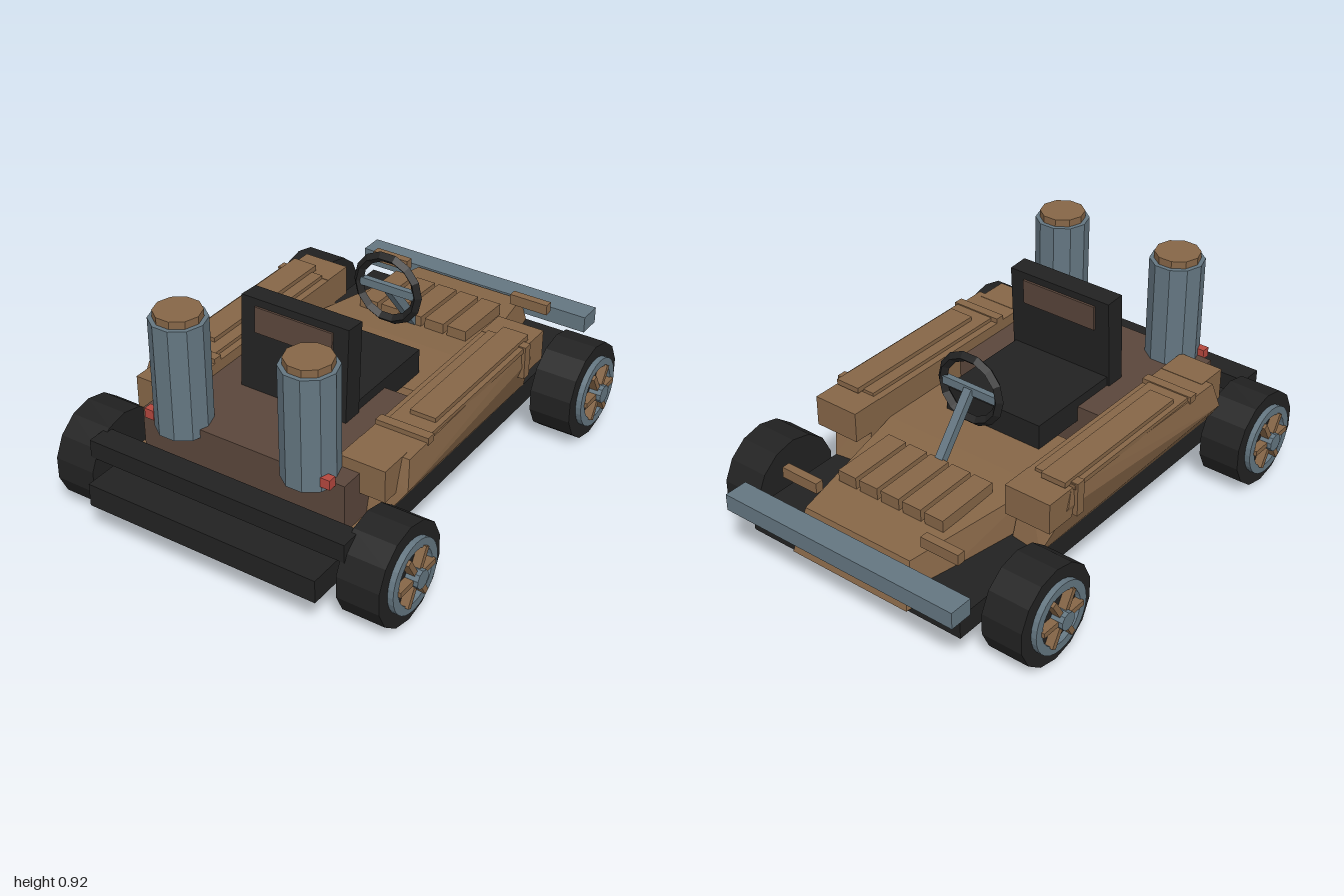
import * as THREE from 'three';
import { ConvexGeometry } from 'three/addons/geometries/ConvexGeometry.js';

const mat = (name, color) => {
  const m = new THREE.MeshStandardMaterial({ color });
  m.name = name;
  return m;
};

export function createModel() {
  const brown = mat('brown paint', 0x866647);
  const darkBrown = mat('dark brown', 0x5a463b);
  const steel = mat('blue grey metal', 0x647681);
  const black = mat('black', 0x222222);
  const red = mat('red', 0xb5483f);
  const model = new THREE.Group();
  model.name = 'kart';

  const add = (name, geo, material, parent = model) => {
    const mesh = new THREE.Mesh(geo, material);
    mesh.name = name;
    parent.add(mesh);
    return mesh;
  };
  // Box given by its limits on each axis
  const box = (name, material, x0, x1, y0, y1, z0, z1, parent = model) => {
    const mesh = add(name, new THREE.BoxGeometry(Math.abs(x1 - x0), y1 - y0, z1 - z0), material, parent);
    mesh.position.set((x0 + x1) / 2, (y0 + y1) / 2, (z0 + z1) / 2);
    return mesh;
  };
  const hull = (name, material, pts) =>
    add(name, new ConvexGeometry(pts.map((p) => new THREE.Vector3(...p))), material);
  // Faceted cylinder lying along x
  const disc = (name, material, r, x0, x1, sides, parent) => {
    const geo = new THREE.CylinderGeometry(r, r, x1 - x0, sides).toNonIndexed();
    geo.rotateY(Math.PI / 2).rotateZ(Math.PI / 2);
    geo.computeVertexNormals();
    const mesh = add(name, geo, material, parent);
    mesh.position.x = (x0 + x1) / 2;
    return mesh;
  };

  // Chassis, bumpers and rear deck
  box('chassis', black, -0.5, 0.5, 0.16, 0.255, -0.91, 1);
  box('rearBumper', black, -0.56, 0.56, 0.3, 0.375, 0.81, 0.91);
  box('frontBumper', steel, -0.54, 0.54, 0.285, 0.355, -1, -0.9);
  box('rearDeck', darkBrown, -0.445, 0.445, 0.255, 0.465, 0.135, 0.735);
  box('deckSill', brown, -0.5, 0.5, 0.25, 0.265, 0.1, 0.74);

  // Tapered nose
  const nose = [];
  for (const s of [-1, 1]) {
    nose.push([s * 0.36, 0.4, 0.01], [s * 0.36, 0.4, -0.29], [s * 0.25, 0.36, -0.88],
      [s * 0.36, 0.25, 0.06], [s * 0.38, 0.23, -0.29], [s * 0.275, 0.18, -0.935]);
  }
  hull('nose', brown, nose);
  for (let i = -2; i <= 2; i++) {
    const x = i * 0.104;
    const vent = box('noseVent', brown, x - 0.043, x + 0.043, 0.38, 0.43, -0.7, -0.42);
    vent.rotation.x = -0.03;
  }

  for (const s of [-1, 1]) {
    // Side pod: top slopes out to the widest line, then tucks in to the floor
    hull('sidePod', brown, [
      [s * 0.36, 0.255, -0.44], [s * 0.5, 0.255, -0.46], [s * 0.565, 0.44, -0.38],
      [s * 0.56, 0.51, -0.36], [s * 0.36, 0.51, -0.36],
      [s * 0.36, 0.255, 0.6], [s * 0.5, 0.255, 0.6], [s * 0.597, 0.4, 0.565],
      [s * 0.58, 0.51, 0.53], [s * 0.36, 0.51, 0.53],
    ]);
    box('podFrontBlock', brown, s * 0.36, s * 0.56, 0.385, 0.512, -0.485, -0.35);
    box('podRearBlock', brown, s * 0.36, s * 0.55, 0.38, 0.512, 0.5, 0.64);
    box('podTopPlate', brown, s * 0.39, s * 0.57, 0.505, 0.525, -0.35, 0.41);
    box('podTopRail', brown, s * 0.44, s * 0.548, 0.52, 0.543, -0.38, 0.305);
    box('podCrossBand', brown, s * 0.36, s * 0.582, 0.5, 0.53, 0.37, 0.41);
    box('podFrontStrap', brown, s * 0.535, s * 0.578, 0.39, 0.53, -0.345, -0.305);

    box('frontLamp', brown, s * 0.25, s * 0.42, 0.385, 0.43, -0.82, -0.785);
    box('rearLamp', red, s * 0.367, s * 0.407, 0.455, 0.495, 0.735, 0.77);

    // Upright canister with cap
    for (const [name, m, r, y0, y1] of [['canister', steel, 0.11, 0.43, 0.89], ['canisterCap', brown, 0.092, 0.88, 0.92]]) {
      const geo = new THREE.CylinderGeometry(r, r, y1 - y0, 10).toNonIndexed();
      geo.rotateY(Math.PI / 2);
      geo.computeVertexNormals();
      add(name, geo, m).position.set(s * 0.28, (y0 + y1) / 2, 0.7);
    }
  }

  // Seat
  box('seatBase', black, -0.225, 0.225, 0.4, 0.505, -0.11, 0.34);
  const back = new THREE.Group();
  back.name = 'seatBack';
  back.position.set(0, 0.46, 0.37);
  back.rotation.x = -0.06;
  model.add(back);
  box('backrest', black, -0.235, 0.235, 0, 0.385, -0.043, 0.043, back);
  box('headPad', darkBrown, -0.17, 0.17, 0.25, 0.355, -0.052, 0.052, back);

  // Steering wheel, crossbar and column
  const ring = new THREE.TorusGeometry(0.135, 0.021, 4, 14).toNonIndexed();
  ring.computeVertexNormals();
  add('steeringWheel', ring, black).position.set(0, 0.645, -0.235);
  box('steeringCrossbar', steel, -0.125, 0.125, 0.628, 0.662, -0.25, -0.225);
  const a = new THREE.Vector3(0, 0.645, -0.24);
  const b = new THREE.Vector3(0, 0.39, -0.44);
  const column = add('steeringColumn', new THREE.BoxGeometry(0.035, 0.035, a.distanceTo(b)), steel);
  column.position.copy(a).lerp(b, 0.5);
  column.lookAt(a);

  // Wheels: tyre, rim ring, spokes and hub
  const rimShape = new THREE.Shape().absarc(0, 0, 0.145, 0, Math.PI * 2);
  rimShape.holes.push(new THREE.Path().absarc(0, 0, 0.11, 0, Math.PI * 2, true));
  const makeWheel = (name, z, turned) => {
    const wheel = new THREE.Group();
    wheel.name = name;
    wheel.position.set(0, 0.203, z);
    if (turned) wheel.rotation.y = Math.PI;
    disc('tyre', black, 0.202, 0.54, 0.715, 14, wheel);
    const rim = add('rim', new THREE.ExtrudeGeometry(rimShape, { depth: 0.03, bevelEnabled: false, curveSegments: 14 })
      .rotateY(Math.PI / 2), steel, wheel);
    rim.position.x = 0.708;
    for (let i = 0; i < 6; i++) {
      const spoke = new THREE.Group();
      spoke.name = 'spoke';
      spoke.rotation.x = (i * Math.PI) / 3 + Math.PI / 6;
      wheel.add(spoke);
      box('spokeBar', brown, 0.71, 0.75, 0.02, 0.115, -0.011, 0.011, spoke);
    }
    disc('hub', steel, 0.037, 0.71, 0.768, 10, wheel);
    model.add(wheel);
  };
  for (const [label, z] of [['rear', 0.735], ['front', -0.645]]) {
    makeWheel(label + 'LeftWheel', z, false);
    makeWheel(label + 'RightWheel', z, true);
    const axle = disc(label + 'Axle', steel, 0.023, -0.56, 0.56, 10, model);
    axle.position.set(0, 0.205, z);
  }
  return model;
}
